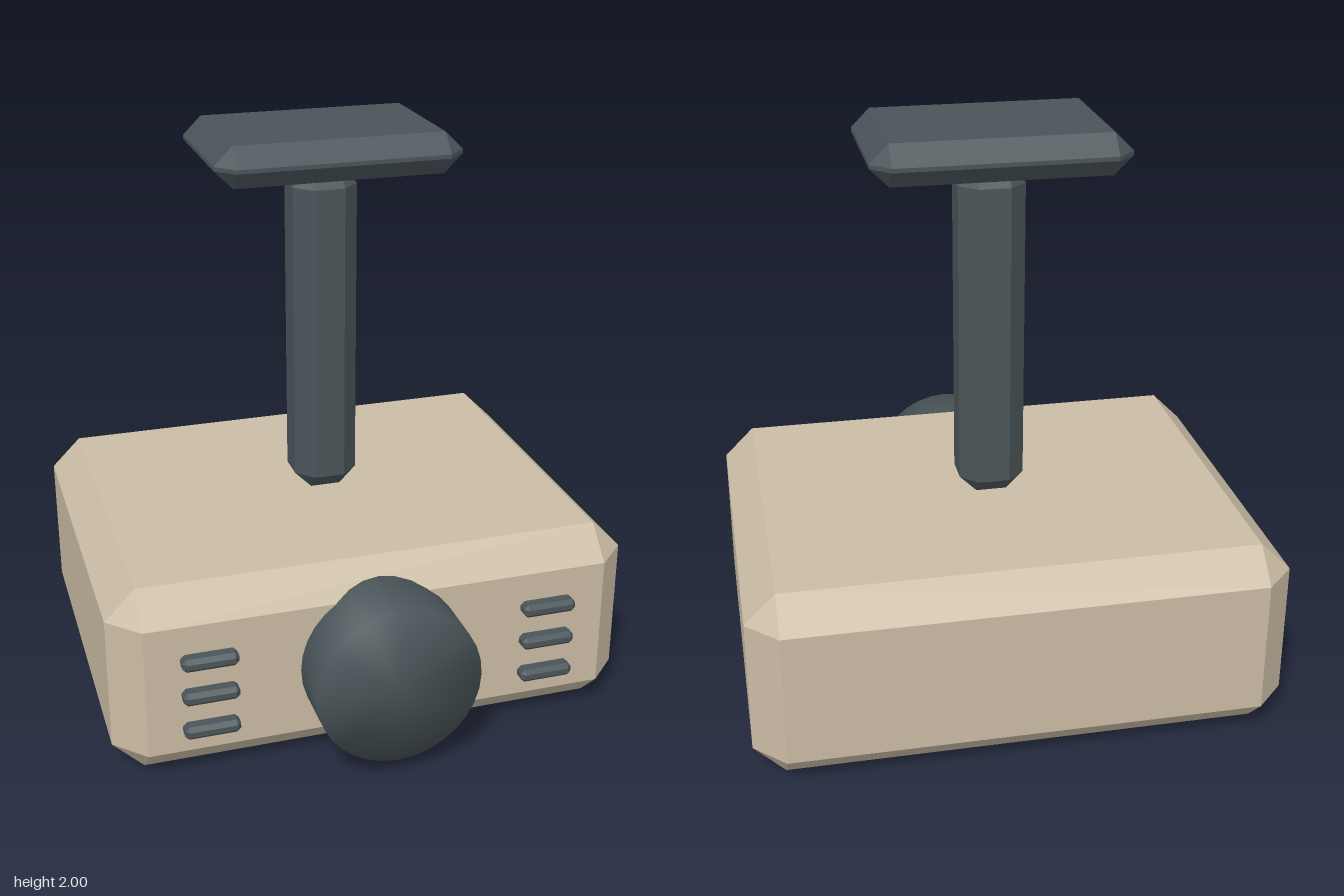
import * as THREE from 'three';
import { ConvexGeometry } from 'three/addons/geometries/ConvexGeometry.js';
import { mergeVertices } from 'three/addons/utils/BufferGeometryUtils.js';

const casing = new THREE.MeshStandardMaterial({ color: 0xcbbda5, name: 'warm beige', flatShading: true });
const metal = new THREE.MeshStandardMaterial({ color: 0x4a5559, name: 'slate grey', flatShading: true });
const lensGrey = metal.clone();
lensGrey.flatShading = false;

// Box with every edge cut at 45 degrees by c
function chamferBox(name, material, [w, h, d], c, [px, py, pz]) {
  const points = [];
  for (const sx of [-1, 1]) for (const sy of [-1, 1]) for (const sz of [-1, 1]) {
    const x = w / 2, y = h / 2, z = d / 2;
    points.push(
      new THREE.Vector3(sx * x, sy * (y - c), sz * (z - c)),
      new THREE.Vector3(sx * (x - c), sy * y, sz * (z - c)),
      new THREE.Vector3(sx * (x - c), sy * (y - c), sz * z));
  }
  const mesh = new THREE.Mesh(new ConvexGeometry(points), material);
  mesh.name = name;
  mesh.position.set(px, py, pz);
  return mesh;
}

export function createModel() {
  const model = new THREE.Group();
  model.name = 'ceilingProjector';
  const midZ = -0.095;

  // Casing, ceiling pole and mounting plate
  model.add(chamferBox('body', casing, [1.82, 0.68, 1.44], 0.105, [0, 0.34, midZ]));
  model.add(chamferBox('mountPole', metal, [0.227, 1.18, 0.227], 0.06, [0, 1.27, midZ]));
  model.add(chamferBox('ceilingPlate', metal, [0.846, 0.14, 0.594], 0.063, [0, 1.93, midZ]));

  // Lens barrel, shaded smoothly over the rim
  let barrel = new THREE.CylinderGeometry(0.283, 0.283, 0.38, 32);
  barrel.deleteAttribute('normal');
  barrel.deleteAttribute('uv');
  barrel = mergeVertices(barrel);
  barrel.computeVertexNormals();
  const lens = new THREE.Mesh(barrel, lensGrey);
  lens.name = 'lens';
  lens.rotation.x = Math.PI / 2;
  lens.position.set(0, 0.343, 0.625);
  model.add(lens);

  // Three vent slats on each side of the lens
  for (const side of [-1, 1]) {
    for (const y of [0.193, 0.322, 0.45]) {
      model.add(chamferBox(side > 0 ? 'leftVent' : 'rightVent', metal,
        [0.188, 0.047, 0.094], 0.014, [side * 0.593, y, 0.625]));
    }
  }
  return model;
}
